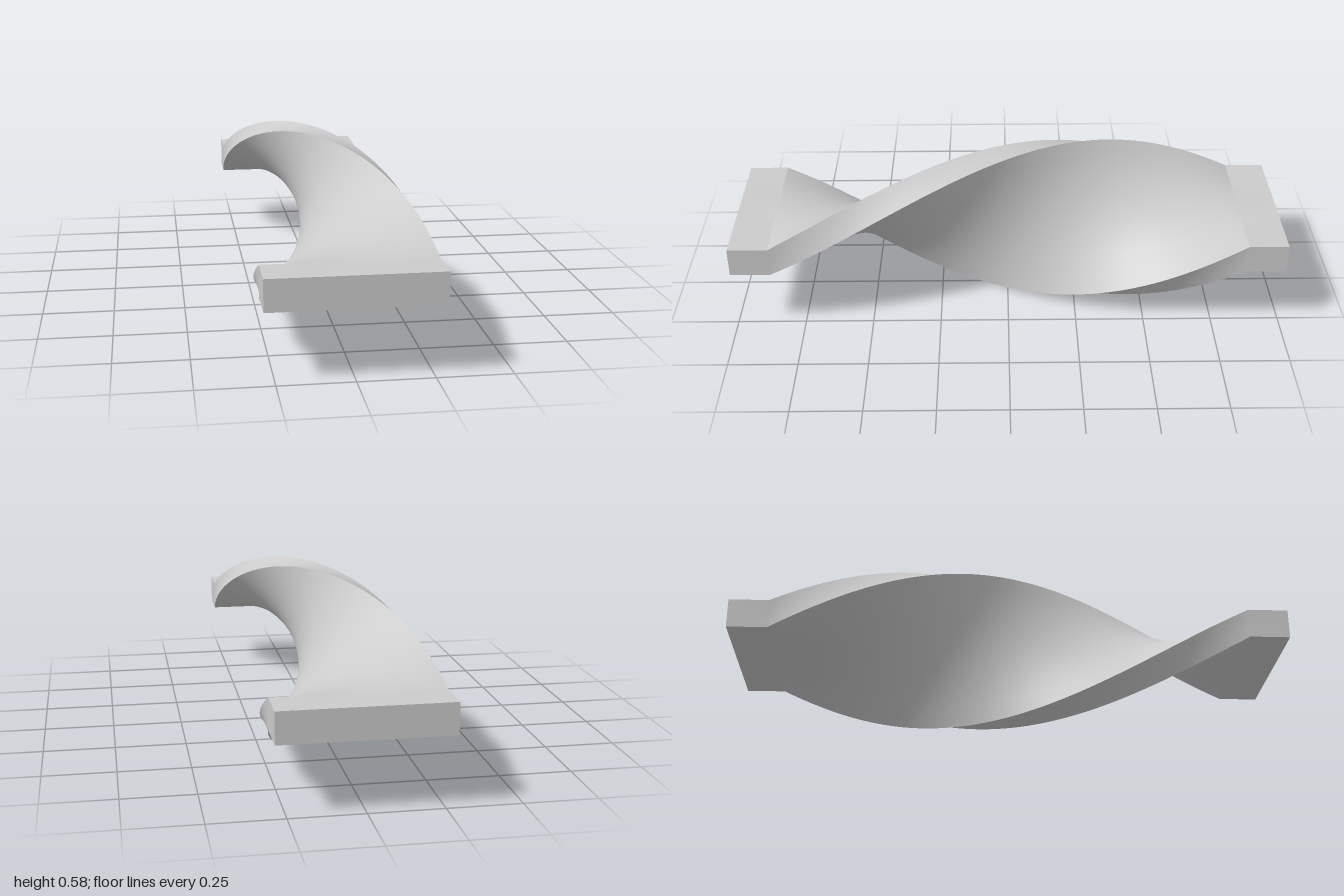
import * as THREE from 'three';
import { toCreasedNormals } from 'three/addons/utils/BufferGeometryUtils.js';

const WIDTH = 0.5714, THICK = 0.107, LENGTH = 2;
const TWIST_HALF = 0.857;                       // half length of the twisted section
const CENTER_Y = Math.hypot(WIDTH, THICK) / 2;  // corners sweep down to y = 0
const STEPS = 160;                              // slices along the twist

// Flat bar whose middle turns half a revolution, with a straight tab at each end
function twistedBarGeometry() {
  const segments = STEPS + 2;
  const geo = new THREE.BoxGeometry(WIDTH, THICK, LENGTH, 8, 2, segments);
  const pos = geo.attributes.position;
  for (let i = 0; i < pos.count; i++) {
    const x = pos.getX(i), y = pos.getY(i);
    // first and last slices become the tabs, the rest spread over the twist
    const slice = Math.round((pos.getZ(i) / LENGTH + 0.5) * segments);
    const t = THREE.MathUtils.clamp((slice - 1) / STEPS, 0, 1);
    const z = slice === 0 ? -LENGTH / 2
      : slice === segments ? LENGTH / 2
      : (2 * t - 1) * TWIST_HALF;
    const angle = Math.PI * (1 - t);
    const c = Math.cos(angle), s = Math.sin(angle);
    pos.setXYZ(i, x * c - y * s, x * s + y * c, z);
  }
  return toCreasedNormals(geo, 0.2);
}

export function createModel() {
  const group = new THREE.Group();
  group.name = 'twistedBarModel';
  const bar = new THREE.Mesh(
    twistedBarGeometry(),
    new THREE.MeshStandardMaterial({ color: 0xcccccc })
  );
  bar.name = 'twistedBar';
  bar.position.y = CENTER_Y;
  group.add(bar);
  return group;
}
